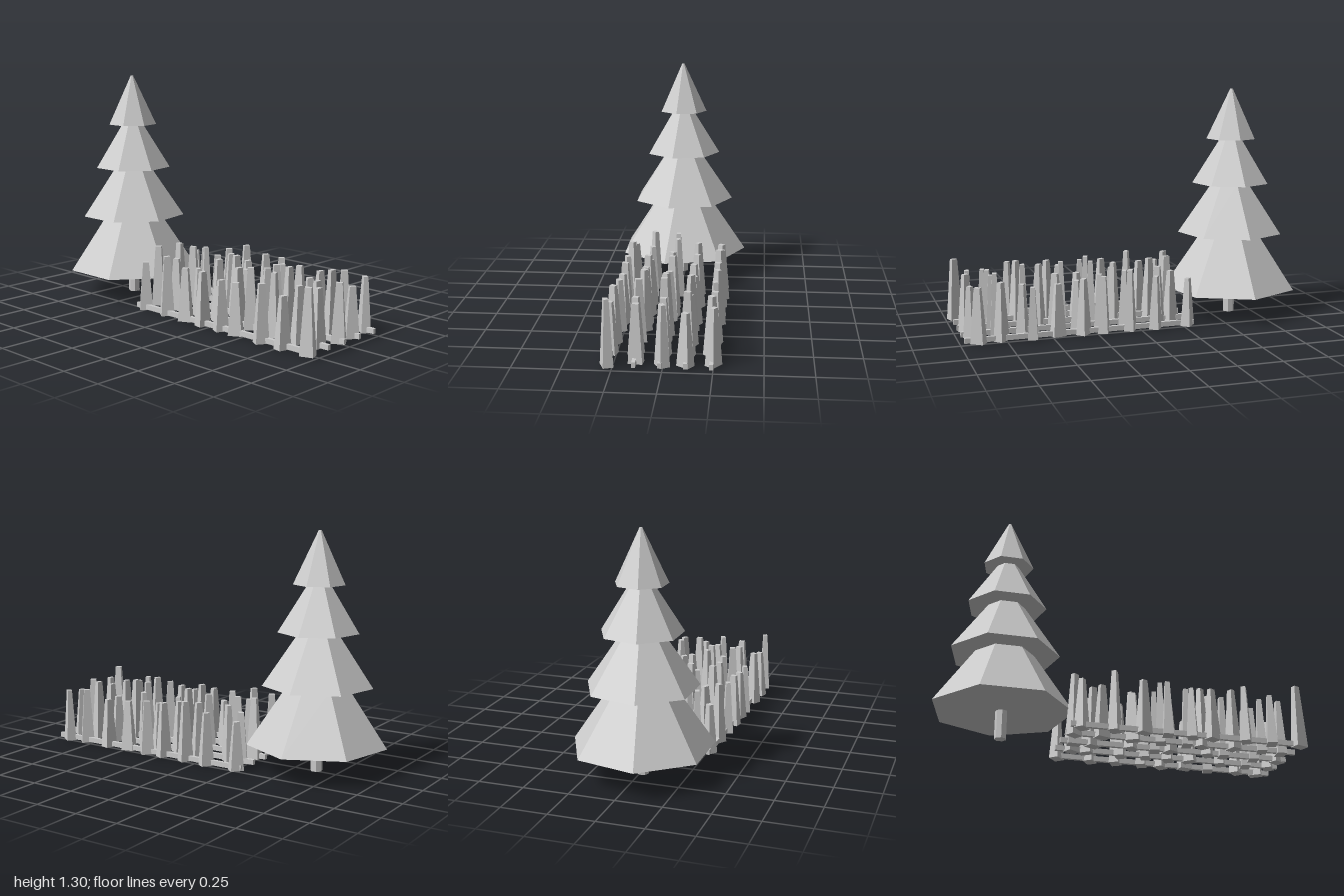
import * as THREE from 'three';

const grey = new THREE.MeshStandardMaterial({ color: 0xcccccc, flatShading: true });
grey.name = 'plainGrey';

const TREE_X = -0.625, TREE_Z = 0.013;

function add(parent, name, geometry, x, y, z) {
  const mesh = new THREE.Mesh(geometry, grey);
  mesh.name = name;
  mesh.position.set(x, y, z);
  parent.add(mesh);
  return mesh;
}

// Box that narrows towards the top, standing on y = 0
function taperedBox(w, h, d, taper) {
  const g = new THREE.BoxGeometry(w, h, d).translate(0, h / 2, 0);
  const p = g.attributes.position;
  for (let i = 0; i < p.count; i++) {
    if (p.getY(i) > h / 2) p.setXYZ(i, p.getX(i) * taper, h, p.getZ(i) * taper);
  }
  g.computeVertexNormals();
  return g;
}

function makeTree() {
  const tree = new THREE.Group();
  tree.name = 'tree';
  add(tree, 'trunk', new THREE.CylinderGeometry(0.033, 0.033, 0.17, 7), TREE_X, 0.085, TREE_Z);
  // Tiers: bottom height, top height, bottom radius, top radius
  const tiers = [
    [0.155, 0.477, 0.385, 0.165],
    [0.477, 0.765, 0.303, 0.105],
    [0.765, 1.02, 0.222, 0.062],
    [1.02, 1.305, 0.142, 0.008],
  ];
  tiers.forEach(([y0, y1, r0, r1], i) => {
    const cone = new THREE.CylinderGeometry(r1, r0, y1 - y0, 7);
    add(tree, `foliageTier${i + 1}`, cone, TREE_X, (y0 + y1) / 2, TREE_Z).rotation.y = Math.PI;
  });
  return tree;
}

// Rows of stakes: z, stake positions along x, turn of each stake in degrees
const ROWS = [
  [-0.242, [-0.27, -0.08, 0.065, 0.215, 0.33, 0.47, 0.61, 0.78, 0.905], [50, 55, 60, 65, 45, 12, 75, 45, -35]],
  [-0.114, [-0.215, -0.135, 0.06, 0.2, 0.335, 0.455, 0.64, 0.79, 0.925], [30, -35, 60, 65, 60, -40, 60, 80, 55]],
  [0.013, [-0.23, -0.125, 0.085, 0.22, 0.3, 0.52, 0.61, 0.79, 0.93], [3, 25, 50, 75, -65, 55, 85, 80, 30]],
  [0.142, [-0.26, -0.11, 0.06, 0.215, 0.36, 0.445, 0.62, 0.785, 0.9], [35, 20, -30, 70, 80, 40, -70, 75, 85]],
  [0.272, [-0.245, -0.07, 0.085, 0.215, 0.35, 0.46, 0.645, 0.79, 0.95], [50, 55, 25, 80, 65, 30, 60, 75, 20]],
];

function makeStakes() {
  const field = new THREE.Group();
  field.name = 'stakeField';
  let seed = 11;
  const rand = () => (seed = (seed * 16807) % 2147483647) / 2147483647;
  for (const [z, xs, turns] of ROWS) {
    add(field, 'rail', new THREE.BoxGeometry(1.285, 0.028, 0.02), 0.337, 0.025, z);
    xs.forEach((x, i) => {
      const height = 0.27 + 0.08 * rand();
      const stake = add(field, 'stake', taperedBox(0.074, height, 0.054, 0.45), x, 0.007, z + (rand() - 0.5) * 0.02);
      stake.rotation.y = THREE.MathUtils.degToRad(turns[i]);
    });
  }
  return field;
}

export function createModel() {
  const model = new THREE.Group();
  model.name = 'treeWithStakes';
  model.add(makeTree(), makeStakes());
  return model;
}
